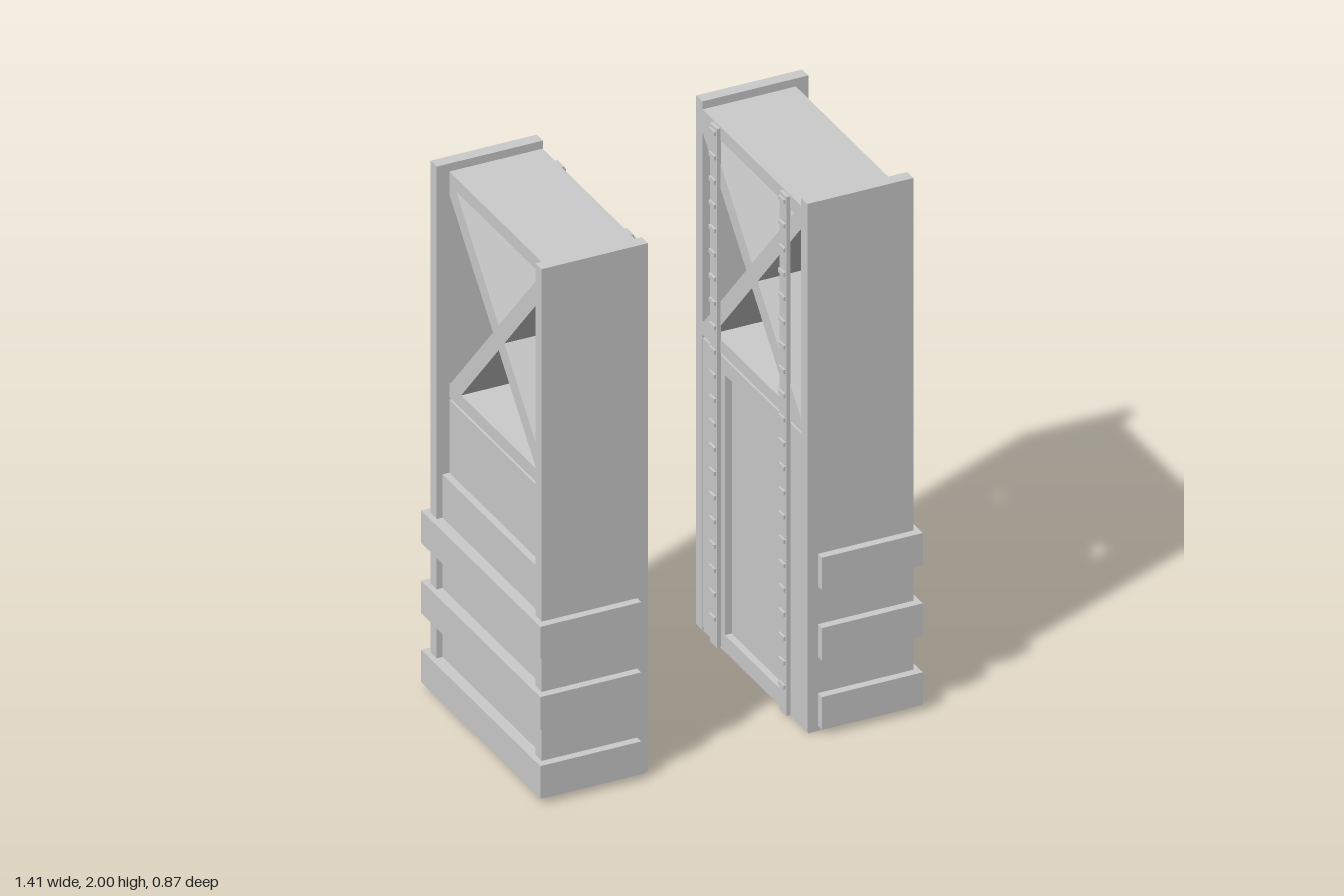
import * as THREE from 'three';

const mat = new THREE.MeshStandardMaterial({ color: 0xcccccc, flatShading: true });

// Box given by its min/max extents; s mirrors it across x
function box(parent, name, s, [x0, x1], [y0, y1], [z0, z1]) {
  const mesh = new THREE.Mesh(new THREE.BoxGeometry(x1 - x0, y1 - y0, z1 - z0), mat);
  mesh.name = name;
  mesh.position.set(s * (x0 + x1) / 2, (y0 + y1) / 2, (z0 + z1) / 2);
  parent.add(mesh);
}

// Outline in the (z, y) plane, given depth along x from x0 to x1
function slab(parent, name, s, points, [x0, x1], hole) {
  const toVec = (p) => p.map(([a, b]) => new THREE.Vector2(a, b));
  const shape = new THREE.Shape(toVec(points));
  if (hole) shape.holes.push(new THREE.Path(toVec(hole)));
  const geo = new THREE.ExtrudeGeometry(shape, { depth: x1 - x0, bevelEnabled: false });
  geo.translate(0, 0, -(x1 - x0) / 2);
  geo.rotateY(-Math.PI / 2);
  const mesh = new THREE.Mesh(geo, mat);
  mesh.name = name;
  mesh.position.x = s * (x0 + x1) / 2;
  parent.add(mesh);
}

const rect = (w, y0, y1) => [[-w, y0], [w, y0], [w, y1], [-w, y1]];

function createTower(s) {
  const tower = new THREE.Group();
  tower.name = s > 0 ? 'leftTower' : 'rightTower';
  const W = 0.3625; // inner half width between the side plates

  // Foot and full-height side plates
  box(tower, 'basePlate', s, [0.3, 0.67], [0, 0.03], [-0.4, 0.4]);
  for (const k of [-1, 1]) {
    const z = [k * W, k * 0.4075].sort((a, b) => a - b);
    box(tower, 'sidePlate', s, [0.293, 0.683], [0.008, 2], z);
  }

  // Lower cabinet, stepped on the outside, with a framed recess on the inside
  box(tower, 'lowerBody', s, [0.32, 0.662], [0.02, 0.835], [-W, W]);
  box(tower, 'upperBody', s, [0.32, 0.637], [0.835, 1.11], [-W, W]);
  slab(tower, 'recessFrame', s, rect(W, 0.02, 1.11), [0.295, 0.32], rect(0.2, 0.07, 1.05));

  // Bumper bands wrapping the outside
  for (const y of [0.025, 0.285, 0.55]) {
    box(tower, 'bumperBand', s, [0.332, 0.703], [y, y + 0.122], [-0.437, 0.437]);
  }

  // Open upper bay: floor, roof and deep crossed braces
  const bay = [0.294, 0.637];
  box(tower, 'bayFloor', s, bay, [1.12, 1.17], [-W, W]);
  box(tower, 'bayRoof', s, bay, [1.92, 1.97], [-W, W]);
  const brace = [[W, 1.885], [W, 1.93], [0.32, 1.93], [-W, 1.165], [-W, 1.12], [-0.32, 1.12]];
  slab(tower, 'crossBrace', s, brace, bay);
  slab(tower, 'crossBrace', s, brace.map(([z, y]) => [-z, y]).reverse(), bay);

  // Toothed rails on the inside face
  for (const k of [-1, 1]) {
    const z = k * 0.255;
    box(tower, 'rail', s, [0.28, 0.296], [0.01, 1.965], [z - 0.025, z + 0.025]);
    for (let i = 0; i < 21; i++) {
      const y = 0.115 + i * 0.0915 - 0.085;
      box(tower, 'railTooth', s, [0.272, 0.281], [y + 0.078, y + 0.093], [z - 0.02, z + 0.02]);
    }
  }
  return tower;
}

export function createModel() {
  const model = new THREE.Group();
  model.name = 'twinTowers';
  model.add(createTower(1), createTower(-1));
  return model;
}
